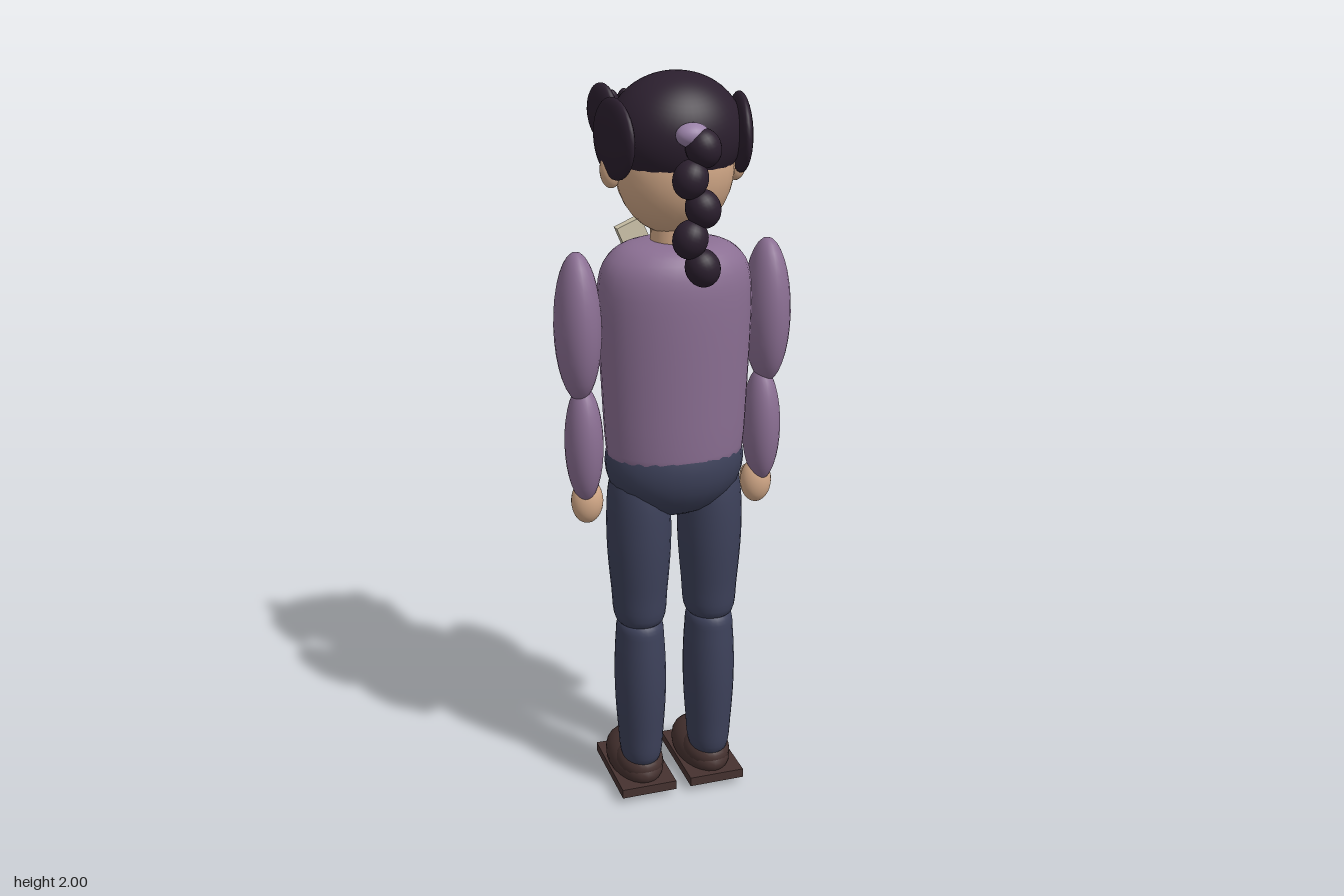
import * as THREE from 'three';

const mat = (name, color) => {
  const m = new THREE.MeshStandardMaterial({ color });
  m.name = name;
  return m;
};

export function createModel() {
  const sweater = mat('mauve sweater', 0x8b6f93);
  const denim = mat('navy trousers', 0x3d415a);
  const hair = mat('dark plum hair', 0x2b1f2e);
  hair.side = THREE.DoubleSide;
  const skin = mat('skin', 0xd3a988);
  const leather = mat('brown leather', 0x463230);
  const cream = mat('cream cloth', 0xcfc6ac);
  const gold = mat('gold', 0xb3953f);
  const white = mat('eye white', 0xeee9e0);
  const lilac = mat('lilac band', 0x9a82a8);
  const lip = mat('lip', 0x6e3a38);

  const model = new THREE.Group();
  model.name = 'standingFigure';
  const add = (name, geo, material, pos = [0, 0, 0], rot = [0, 0, 0]) => {
    const m = new THREE.Mesh(geo, material);
    m.name = name;
    m.position.set(...pos);
    m.rotation.set(...rot);
    model.add(m);
    return m;
  };
  // Ellipsoid from its three radii
  const blob = (name, material, pos, r, rot) =>
    add(name, new THREE.SphereGeometry(1, 24, 16).scale(...r), material, pos, rot);
  // Turned shape from [radius, height] points, smoothed and flattened in depth
  const turned = (name, material, pts, pos, depth) => {
    const curve = new THREE.SplineCurve(pts.map(p => new THREE.Vector2(...p)));
    const profile = curve.getPoints(28).map(p => new THREE.Vector2(Math.max(p.x, 0), p.y));
    return add(name, new THREE.LatheGeometry(profile, 28).scale(1, 1, depth), material, pos);
  };
  const tube = (name, material, pts, r) => add(name, new THREE.TubeGeometry(
    new THREE.CatmullRomCurve3(pts.map(p => new THREE.Vector3(...p))), 16, r, 8), material);

  // Torso and hips
  turned('sweaterBody', sweater, [[0, 1.005], [0.1, 1.005], [0.172, 1.01], [0.186, 1.04], [0.195, 1.2],
    [0.203, 1.4], [0.196, 1.5], [0.165, 1.552], [0.11, 1.578], [0, 1.585]], [0, 0, -0.005], 0.765);
  blob('hips', denim, [0, 0.99, -0.01], [0.188, 0.155, 0.15]);
  add('neck', new THREE.CylinderGeometry(0.06, 0.065, 0.14, 24), skin, [0, 1.59, -0.005]);

  // Shirt front with collar and buttons
  add('shirtFront', new THREE.BoxGeometry(0.15, 0.335, 0.022), cream, [0, 1.35, -0.171]);
  for (const y of [1.405, 1.272, 1.145]) blob('button', gold, [0, y, -0.188], [0.011, 0.011, 0.009]);

  for (const s of [-1, 1]) {
    add('collarFlap', new THREE.BoxGeometry(0.07, 0.11, 0.03), cream, [s * 0.062, 1.55, -0.143], [0, 0, -s * 0.4]);

    // Arm
    blob('upperArm', sweater, [s * 0.256, 1.37, -0.013], [0.06, 0.195, 0.083]);
    blob('forearm', sweater, [s * 0.246, 1.055, -0.012], [0.05, 0.16, 0.064]);
    blob('hand', skin, [s * 0.238, 0.89, -0.022], [0.043, 0.062, 0.037]);
    blob('thumb', skin, [s * 0.215, 0.9, -0.045], [0.014, 0.032, 0.014], [0.2, 0, 0]);

    // Leg
    turned('thigh', denim, [[0, 0.52], [0.062, 0.53], [0.076, 0.63], [0.086, 0.78], [0.08, 0.92], [0.05, 1], [0, 1.02]],
      [s * 0.1, 0, -0.01], 1.17);
    turned('calf', denim, [[0, 0.09], [0.05, 0.1], [0.063, 0.2], [0.07, 0.34], [0.066, 0.47], [0.055, 0.53], [0, 0.545]],
      [s * 0.1, 0, -0.008], 1.25);

    // Shoe
    blob('shoe', leather, [s * 0.1, 0.062, -0.072], [0.076, 0.062, 0.137]);
    blob('shoeInstep', leather, [s * 0.1, 0.08, -0.025], [0.066, 0.05, 0.085]);
    add('sole', new THREE.BoxGeometry(0.157, 0.026, 0.27), leather, [s * 0.1, 0.031, -0.06]);

    // Ear
    blob('ear', skin, [s * 0.163, 1.765, -0.012], [0.028, 0.046, 0.026]);

    // Eye, brow and spectacle rim
    blob('eye', white, [s * 0.062, 1.805, -0.126], [0.034, 0.024, 0.014], [0, s * 0.25, 0]);
    blob('iris', hair, [s * 0.06, 1.803, -0.139], [0.016, 0.018, 0.006], [0, s * 0.25, 0]);
    blob('eyeGlint', white, [s * 0.06 + 0.005, 1.81, -0.144], [0.005, 0.005, 0.003]);
    tube('eyebrow', hair, [[s * 0.03, 1.852, -0.136], [s * 0.06, 1.862, -0.13], [s * 0.095, 1.85, -0.112]], 0.006);
    add('spectacleRim', new THREE.TorusGeometry(0.046, 0.004, 8, 32), gold, [s * 0.07, 1.803, -0.178]);
    tube('spectacleArm', gold, [[s * 0.116, 1.808, -0.178], [s * 0.145, 1.808, -0.1], [s * 0.163, 1.805, -0.02]], 0.003);

    // Hair over the ear
    blob('sideHair', hair, [s * 0.163, 1.845, 0.018], [0.025, 0.1, 0.11], [0, -s * 0.15, 0]);
  }
  tube('spectacleBridge', gold, [[-0.025, 1.808, -0.178], [0, 1.816, -0.181], [0.025, 1.808, -0.178]], 0.004);

  // Head and face
  blob('head', skin, [0, 1.77, -0.006], [0.153, 0.175, 0.136]);
  blob('chin', skin, [0, 1.655, -0.08], [0.08, 0.045, 0.055]);
  blob('nose', skin, [0, 1.762, -0.158], [0.026, 0.026, 0.038]);
  blob('noseBridge', skin, [0, 1.79, -0.14], [0.015, 0.038, 0.02], [0.25, 0, 0]);
  tube('mouth', lip, [[-0.042, 1.705, -0.13], [0, 1.697, -0.139], [0.042, 1.705, -0.13]], 0.006);

  // Hair cap, tilted to sit low at the nape and high on the brow
  add('hairCap', new THREE.SphereGeometry(1, 40, 20, 0, Math.PI * 2, 0, Math.PI * 0.62)
    .rotateX(0.42).scale(0.172, 0.15, 0.149), hair, [0, 1.85, 0]);

  // Fringe locks
  for (let i = 0; i < 8; i++) {
    const x = -0.125 + i * 0.033;
    const z = -0.143 + x * x * 1.5;
    blob('fringeLock', hair, [x, 1.893, z], [0.022, 0.06, 0.024], [0.5, 0, -x * 1.5]);
  }
  blob('templeLockRight', hair, [-0.155, 1.89, -0.108], [0.024, 0.075, 0.062], [0.3, 0.3, 0]);
  blob('templeLockLeft', hair, [0.125, 1.885, -0.108], [0.022, 0.06, 0.055], [0.3, 0.3, 0]);
  blob('hairClip', lilac, [0.17, 1.885, -0.065], [0.017, 0.026, 0.012], [0, 0, 0.2]);

  // Braid and its tie
  blob('braidTie', lilac, [-0.008, 1.868, 0.155], [0.042, 0.03, 0.034]);
  for (let i = 0; i < 5; i++) {
    blob('braidKnot', hair, [i % 2 ? -0.016 : 0.016, 1.838 - i * 0.073, 0.165],
      [0.044, 0.049, 0.043], [0, 0, i % 2 ? -0.35 : 0.35]);
  }
  return model;
}
